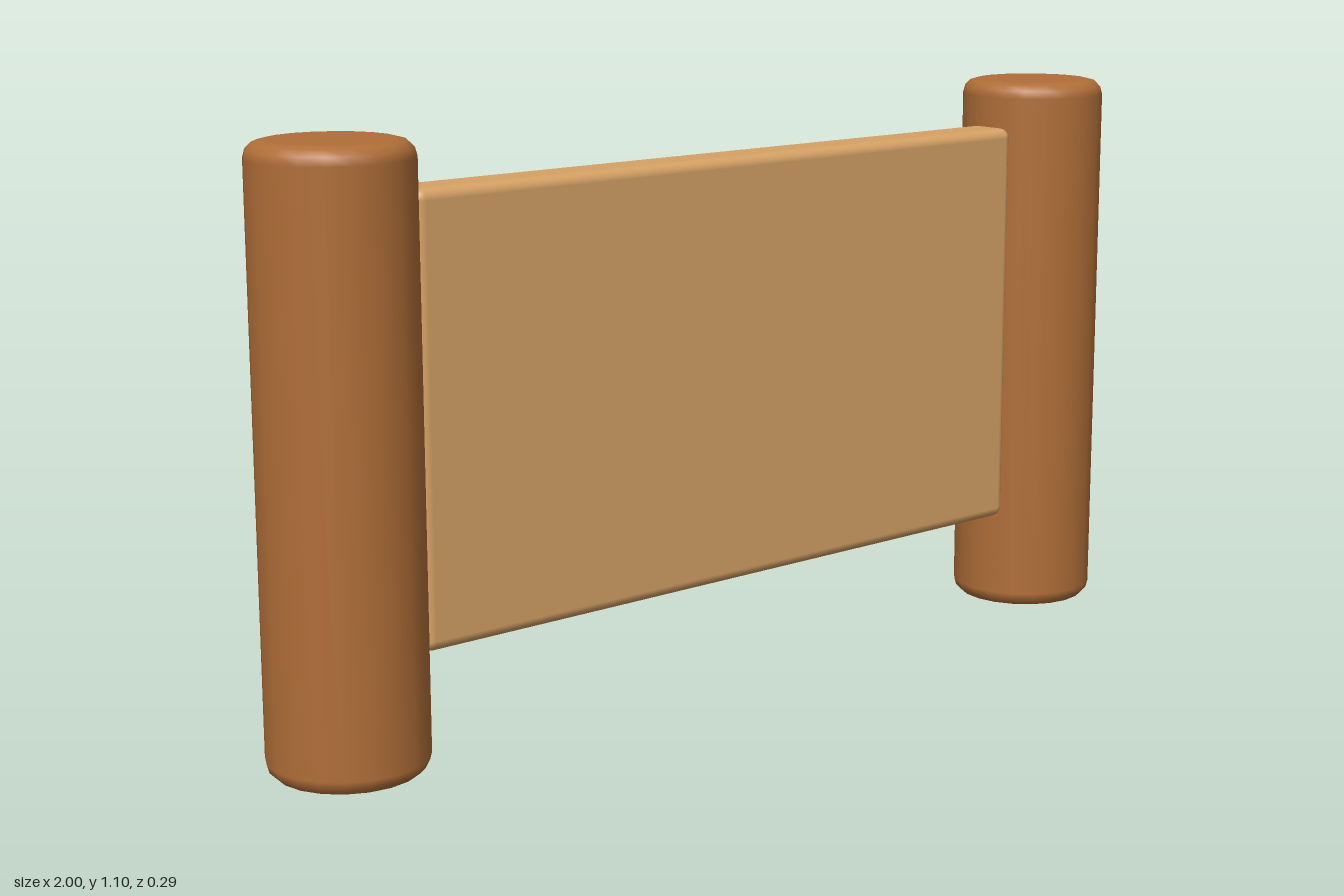
import * as THREE from 'three';
import { RoundedBoxGeometry } from 'three/addons/geometries/RoundedBoxGeometry.js';

export function createModel() {
  const model = new THREE.Group();
  const darkWood = new THREE.MeshStandardMaterial({ color: 0xb06e38 });
  darkWood.name = 'darkWood';
  const lightWood = new THREE.MeshStandardMaterial({ color: 0xd6a265 });
  lightWood.name = 'lightWood';

  // Round post with softened rims, turned from the bottom centre to the top centre
  const radius = 0.144, height = 1.1, bevel = 0.03;
  const profile = [new THREE.Vector2(0, 0), new THREE.Vector2(radius - bevel - 0.004, 0)];
  for (let i = 0; i <= 3; i++) {
    const a = (i / 3) * Math.PI / 2;
    profile.push(new THREE.Vector2(radius - bevel + bevel * Math.sin(a), bevel - bevel * Math.cos(a)));
  }
  const upper = profile.map((p) => new THREE.Vector2(p.x, height - p.y)).reverse();
  const postGeometry = new THREE.LatheGeometry([...profile, ...upper], 20);

  for (const [name, side] of [['leftPost', 1], ['rightPost', -1]]) {
    const post = new THREE.Mesh(postGeometry, darkWood);
    post.name = name;
    post.position.x = side * (1 - radius);
    model.add(post);
  }

  // Board between the posts, set slightly forward
  const board = new THREE.Mesh(new RoundedBoxGeometry(1.46, 0.812, 0.101, 3, 0.02), lightWood);
  board.name = 'board';
  board.position.set(0, 0.604, 0.013);
  model.add(board);

  return model;
}
